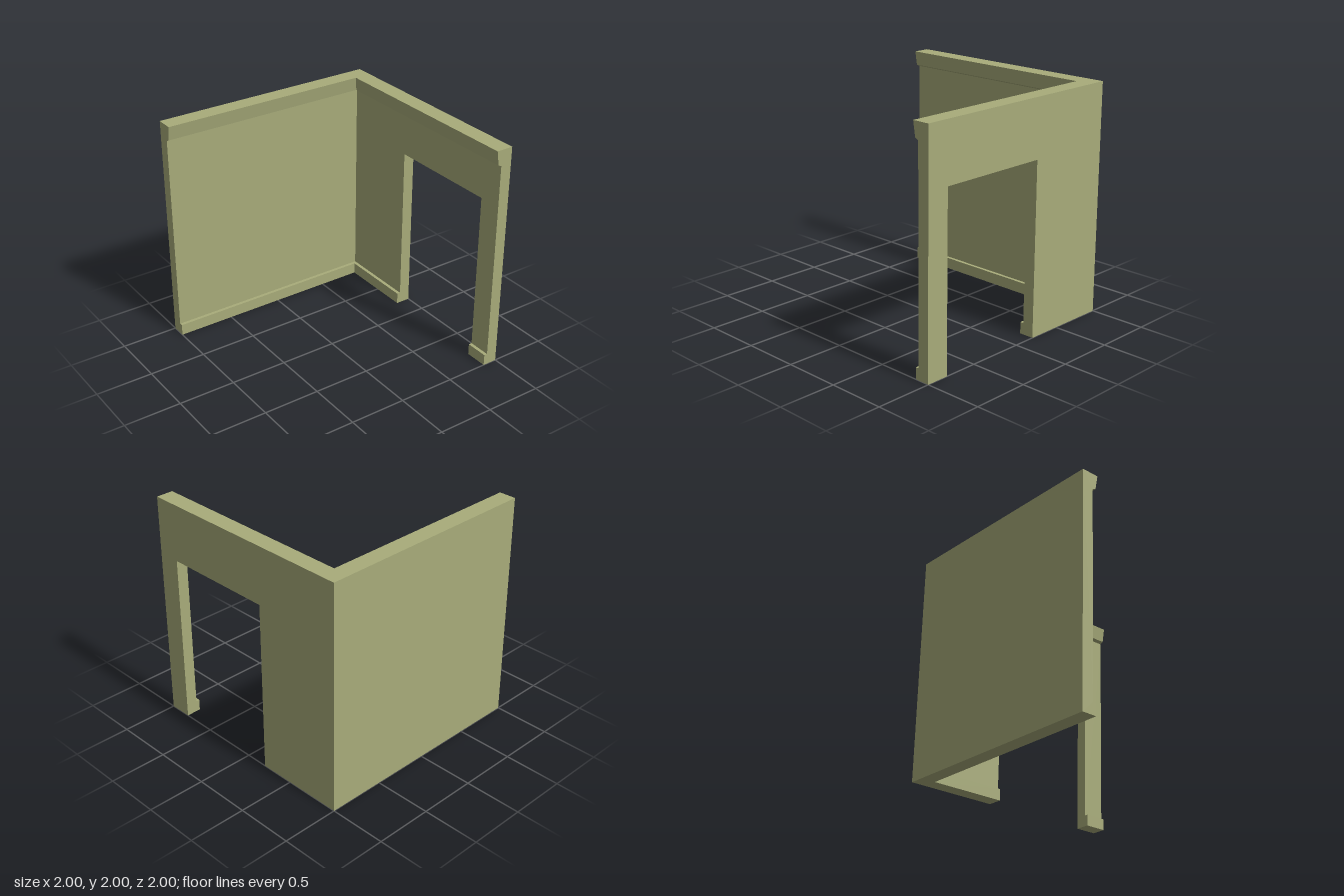
import * as THREE from 'three';

export function createModel() {
  const group = new THREE.Group();
  const plaster = new THREE.MeshStandardMaterial({ color: 0xa8ac7a });
  plaster.name = 'olive plaster';

  // Wall section as [depth from the outer face, height]
  const crown = [[0.1, 1.86], [0.13, 1.875], [0.15, 2], [0, 2]];
  const fullSection = [[0, 0], [0.13, 0], [0.13, 0.1], [0.1, 0.1], ...crown];
  const headerSection = [[0, 1.5], [0.1, 1.5], ...crown];

  // Runs a section along a wall; distances are measured from the outer corner,
  // and a run starting at the corner is mitred. side: +1 back wall, -1 door wall.
  function addWall(name, section, from, to, side) {
    const shape = new THREE.Shape(section.map(([d, y]) => new THREE.Vector2(side * d, y)));
    const geometry = new THREE.ExtrudeGeometry(shape, { depth: to - from, bevelEnabled: false });
    geometry.translate(0, 0, from);
    const p = geometry.attributes.position;
    for (let i = 0; i < p.count; i++) {
      if (p.getZ(i) < 1e-6) p.setZ(i, Math.abs(p.getX(i)));
    }
    geometry.computeVertexNormals();
    if (side > 0) geometry.rotateY(-Math.PI / 2);
    geometry.translate(1, 0, -1);
    const mesh = new THREE.Mesh(geometry, plaster);
    mesh.name = name;
    group.add(mesh);
  }

  addWall('backWall', fullSection, 0, 2, 1);
  // Door wall: wide pier, lintel over the opening, narrow post
  addWall('doorWallPier', fullSection, 0, 0.8, -1);
  addWall('doorLintel', headerSection, 0.8, 1.8, -1);
  addWall('doorWallPost', fullSection, 1.8, 2, -1);

  return group;
}
